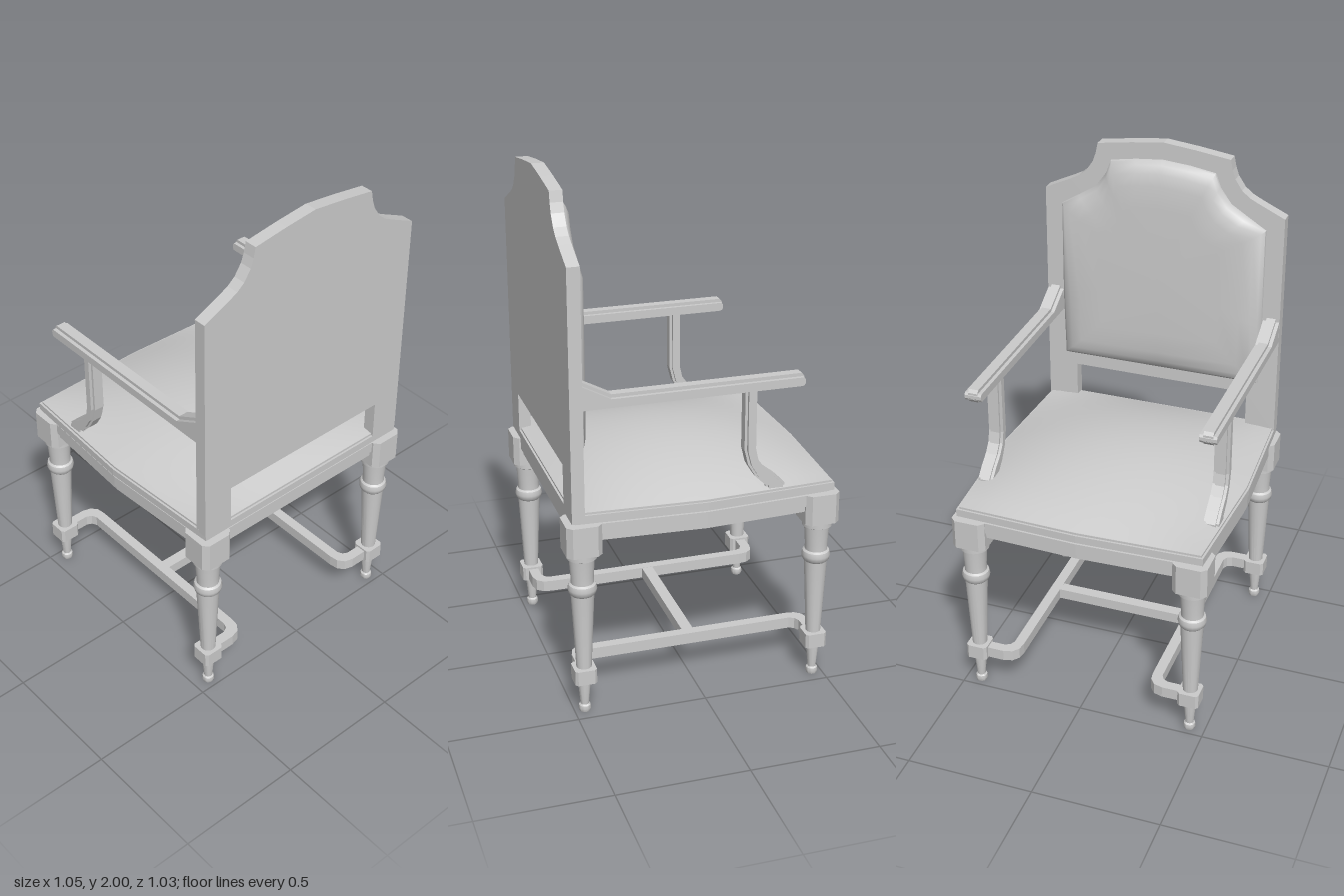
import * as THREE from 'three';
import { toCreasedNormals } from 'three/addons/utils/BufferGeometryUtils.js';

const material = new THREE.MeshStandardMaterial({ color: 0xcccccc });

function add(parent, name, geometry, x = 0, y = 0, z = 0) {
  const mesh = new THREE.Mesh(geometry, material);
  mesh.name = name;
  mesh.position.set(x, y, z);
  parent.add(mesh);
  return mesh;
}

const shapeOf = (points) => new THREE.Shape(points.map((p) => new THREE.Vector2(...p)));
const crease = (geometry, angle = 0.6) => toCreasedNormals(geometry, angle);

// Plan outline given as [x, z], extruded upwards from y0 to y1
function slab(points, y0, y1) {
  const g = new THREE.ExtrudeGeometry(shapeOf(points.map(([x, z]) => [x, -z])), { depth: y1 - y0, bevelEnabled: false });
  return g.rotateX(-Math.PI / 2).translate(0, y0, 0);
}

// Side outline given as [x, y], extruded across z and centred
function sideCut(points, width) {
  return new THREE.ExtrudeGeometry(shapeOf(points), { depth: width, bevelEnabled: false }).translate(0, 0, -width / 2);
}

// Square with cut corners
function octagon(r, c) {
  return [[r, r - c], [r - c, r], [c - r, r], [-r, r - c], [-r, c - r], [c - r, -r], [r - c, -r], [r, c - r]];
}

// Bowed seat plan; inset shrinks it
function seatPlan(inset) {
  const x = 0.505 - inset, z = 0.485 - inset, b = 0.028;
  return [[-x, -z], [-x - b * 0.6, 0], [-x, z], [0, z + b], [x, z], [x, -z], [0, -z - b]];
}

// Closed surface through equal-sized loops of points, with the last loop collapsing to a point
function loft(loops) {
  const n = loops[0].length, index = [];
  for (let k = 0; k < loops.length - 1; k++) {
    for (let i = 0; i < n; i++) {
      const a = k * n + i, b = k * n + (i + 1) % n;
      index.push(a, b, a + n, b, b + n, a + n);
    }
  }
  const g = new THREE.BufferGeometry();
  g.setAttribute('position', new THREE.Float32BufferAttribute(loops.flat(2), 3));
  g.setIndex(index);
  g.computeVertexNormals();
  return g;
}

function seat() {
  const group = new THREE.Group();
  group.name = 'seat';
  add(group, 'apron', slab(seatPlan(0.015), 0.72, 0.775));
  add(group, 'apronMoulding', slab(seatPlan(0.005), 0.745, 0.79));
  add(group, 'seatBase', slab(seatPlan(0.015), 0.79, 0.805));
  add(group, 'cushionEdge', slab(seatPlan(0), 0.8, 0.83));
  // Domed upholstery
  const dome = new THREE.PlaneGeometry(2, 2, 16, 16).rotateX(-Math.PI / 2);
  const p = dome.attributes.position;
  for (let i = 0; i < p.count; i++) {
    const u = p.getX(i), v = p.getZ(i);
    const bow = u < 0 ? 0.016 * (1 - Math.abs(v)) : 0;
    p.setXYZ(i, u * (0.495 + bow), 0.838 + 0.095 * (1 - u * u) * (1 - v * v), v * (0.476 + 0.027 * (1 - Math.abs(u))));
  }
  dome.computeVertexNormals();
  add(group, 'cushionTop', dome);
  add(group, 'cushionPiping', slab(seatPlan(0.008), 0.83, 0.838));
  return group;
}

function leg(x, z) {
  const group = new THREE.Group();
  group.name = 'leg';
  group.position.set(x, 0, z);
  const profile = [
    [0, 0], [0.02, 0], [0.024, 0.012], [0.022, 0.025], [0.016, 0.03], [0.025, 0.13], [0.025, 0.19],
    [0.029, 0.19], [0.044, 0.495], [0.051, 0.503], [0.055, 0.52], [0.051, 0.537], [0.043, 0.543],
    [0.043, 0.57], [0.048, 0.64], [0.057, 0.645], [0.057, 0.67], [0, 0.67],
  ].map((p) => new THREE.Vector2(...p));
  add(group, 'turnedShaft', crease(new THREE.LatheGeometry(profile, 20)));
  add(group, 'stretcherBlock', slab(octagon(0.042, 0.01), 0.13, 0.188));
  add(group, 'topBlock', slab(octagon(0.067, 0.02), 0.67, 0.79));
  return group;
}

// Side stretcher: straight run set inward, with ends curving out to the legs
function sideStretcher(s) {
  const half = [[0.48, 0.44], [0.48, 0.33], [0.47, 0.295], [0.445, 0.275], [0.41, 0.27]];
  const inner = [[0.375, 0.31], [0.41, 0.31], [0.43, 0.32], [0.44, 0.34], [0.44, 0.44]];
  const right = [...half.slice().reverse(), ...inner.slice().reverse()];
  const left = right.map(([x, z]) => [-x, z]).reverse();
  return slab([...right, ...left].map(([x, z]) => [x, z * s]), 0.135, 0.18);
}

// Back outline, half side from bottom to top, as [z, y]
const backHalf = [[0.487, 1.755], [0.38, 1.805], [0.345, 1.823], [0.315, 1.848], [0.287, 1.89], [0.275, 1.925], [0.267, 1.965], [0.13, 1.985]];
const mirrored = (half) => half.map(([z, y]) => [-z, y]).reverse();

function back() {
  const group = new THREE.Group();
  group.name = 'back';
  // Slab with two posts reaching down to the seat
  const outline = [
    [0.365, 0.82], [0.487, 0.82], ...backHalf, [0, 2], ...mirrored(backHalf),
    [-0.487, 0.82], [-0.365, 0.82], [-0.365, 0.985], [0.365, 0.985],
  ];
  const frame = new THREE.ExtrudeGeometry(shapeOf(outline), { depth: 0.048, bevelEnabled: false });
  add(group, 'backFrame', frame.rotateY(Math.PI / 2).translate(0.457, 0, 0));

  // Padded panel following the frame outline
  const padHalf = [[0.41, 1.04], [0.417, 1.3], [0.417, 1.7], [0.345, 1.745], [0.275, 1.79], [0.232, 1.85], [0.212, 1.905], [0.11, 1.922]];
  const pad = [...padHalf, [0, 1.932], ...mirrored(padHalf), [0, 1.04]];
  const rings = [[0.46, 1], [0.448, 0.995], [0.432, 0.965], [0.418, 0.9], [0.409, 0.8], [0.406, 0.6], [0.405, 0]];
  const loops = rings.map(([x, k]) => pad.map(([z, y]) => [x, 1.47 + (y - 1.47) * k, z * k]));
  add(group, 'backPad', crease(loft(loops.map((l) => l.reverse())), 0.9)).material = padMaterial;
  return group;
}
const padMaterial = new THREE.MeshStandardMaterial({ color: 0xcccccc, side: THREE.DoubleSide });

function arm(s) {
  const group = new THREE.Group();
  group.name = 'arm';
  group.position.z = 0.453 * s;
  // Raised middle ridge with a lower moulding on both sides
  add(group, 'armRail', sideCut([[-0.365, 1.225], [0.46, 1.225], [0.46, 1.335], [0.35, 1.277], [-0.365, 1.277], [-0.375, 1.265], [-0.375, 1.238]], 0.037));
  add(group, 'armMoulding', sideCut([[-0.37, 1.232], [0.46, 1.232], [0.46, 1.322], [0.352, 1.264], [-0.37, 1.264], [-0.376, 1.255], [-0.376, 1.242]], 0.066));
  // Support sweeping forward down to the seat
  const front = [[-0.195, 1.235], [-0.195, 1.0], [-0.205, 0.955], [-0.23, 0.92], [-0.275, 0.885], [-0.31, 0.85], [-0.31, 0.83]];
  const rear = [[-0.235, 0.83], [-0.235, 0.85], [-0.195, 0.89], [-0.165, 0.94], [-0.15, 1.0], [-0.15, 1.235]];
  add(group, 'armSupport', sideCut([...front, ...rear], 0.037));
  const inset = (pts, d) => pts.map(([x, y]) => [x + d, y]);
  add(group, 'armSupportMoulding', sideCut([...inset(front, 0.01), ...inset(rear, -0.01)], 0.06));
  return group;
}

export function createModel() {
  const model = new THREE.Group();
  model.name = 'armchair';
  model.add(seat(), back());
  for (const s of [-1, 1]) {
    model.add(arm(s), leg(0.46, 0.438 * s), leg(-0.46, 0.438 * s));
    add(model, 'sideStretcher', sideStretcher(s));
  }
  add(model, 'crossStretcher', new THREE.BoxGeometry(0.045, 0.043, 0.56), 0, 0.1575, 0);
  return model;
}
